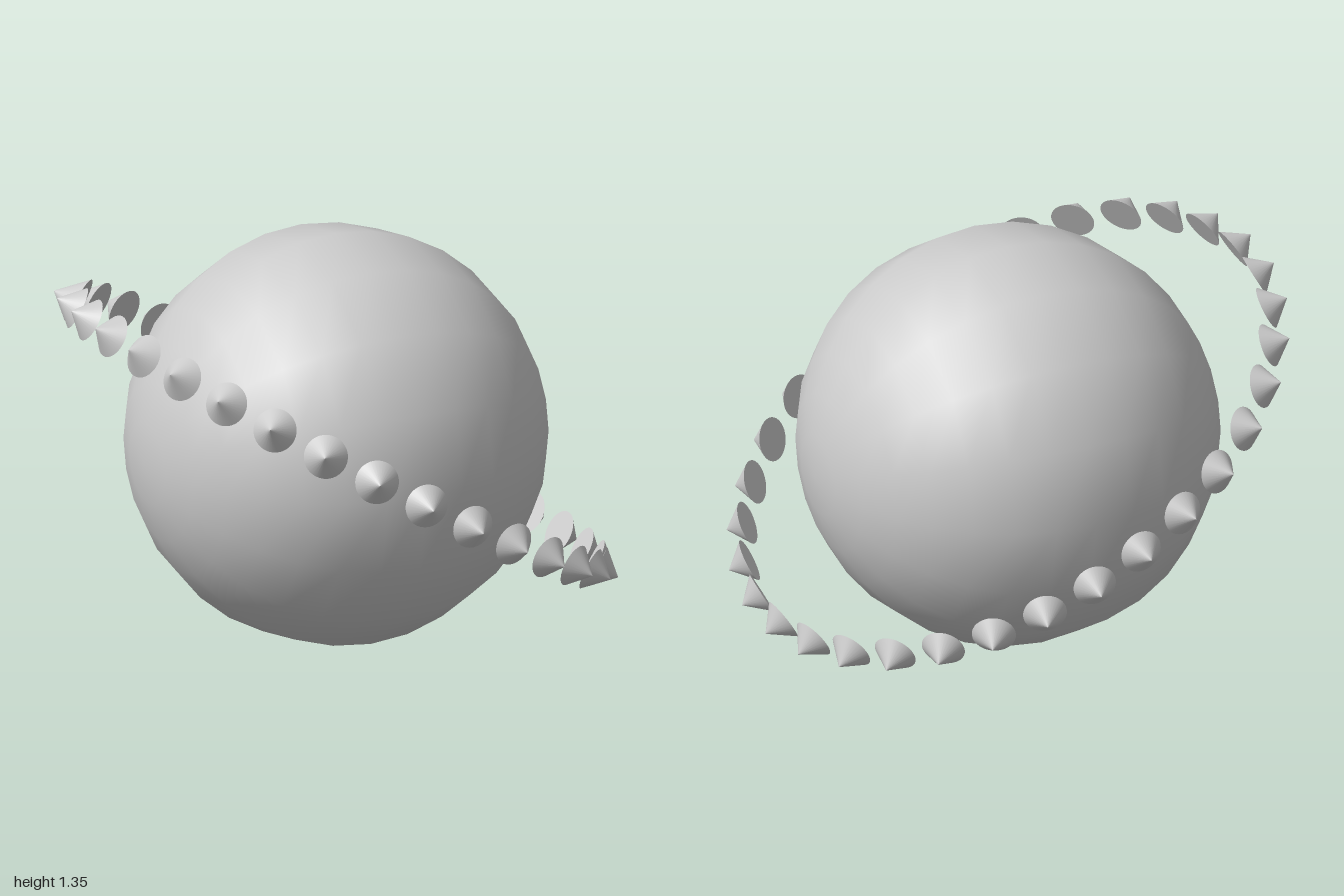
import * as THREE from 'three';

export function createModel() {
  const model = new THREE.Group();
  model.name = 'ringedPlanet';
  const material = new THREE.MeshStandardMaterial({ color: 0xcccccc });
  const centerY = 0.675;

  // Planet: sphere with its poles on the x axis
  const planet = new THREE.Mesh(new THREE.SphereGeometry(0.673, 16, 16), material);
  planet.name = 'planet';
  planet.rotation.z = Math.PI / 2;
  planet.position.y = centerY;
  model.add(planet);

  // Tilted ring of cones pointing outward
  const ring = new THREE.Group();
  ring.name = 'coneRing';
  ring.position.y = centerY;
  ring.rotation.z = -Math.PI / 6;
  model.add(ring);

  const count = 32, baseDistance = 0.927, height = 0.074;
  const coneGeometry = new THREE.ConeGeometry(0.07, height, 32);
  coneGeometry.rotateX(Math.PI / 2);
  coneGeometry.translate(0, 0, baseDistance + height / 2);
  const step = (Math.PI * 2) / count;
  for (let i = 0; i < count; i++) {
    const cone = new THREE.Mesh(coneGeometry, material);
    cone.name = `ringCone${i + 1}`;
    cone.rotation.y = (i + 0.25) * step;
    ring.add(cone);
  }
  return model;
}
